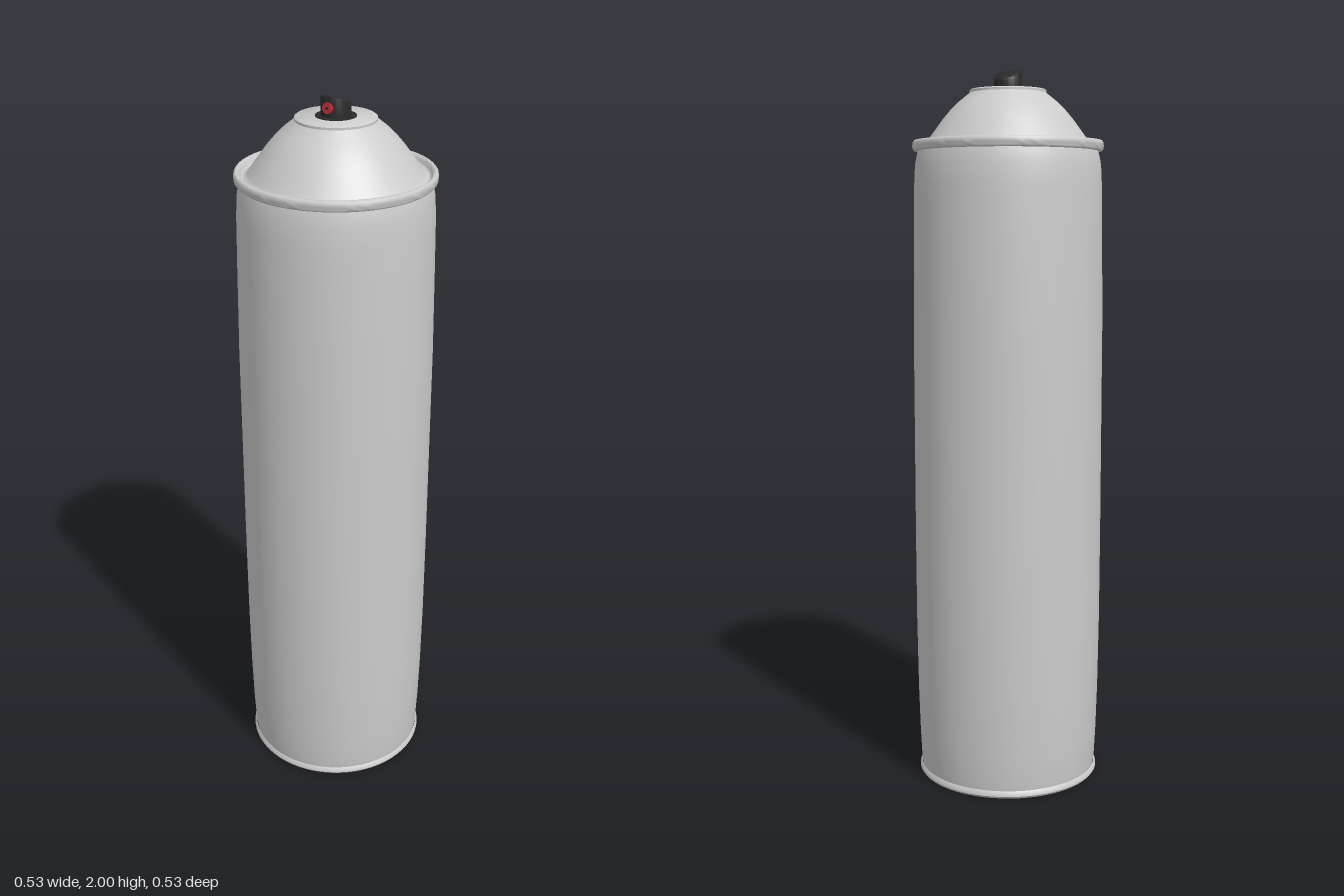
import * as THREE from 'three';
import { toCreasedNormals } from 'three/addons/utils/BufferGeometryUtils.js';

const grey = new THREE.MeshStandardMaterial({ color: 0xcccccc });
const black = new THREE.MeshStandardMaterial({ color: 0x2a2a2a });
const red = new THREE.MeshStandardMaterial({ color: 0xc8323c });

function part(name, geometry, material) {
  const mesh = new THREE.Mesh(geometry, material);
  mesh.name = name;
  return mesh;
}

// Turned solid from [radius, y] pairs, listed from the bottom up
function turned(profile, sides = 64) {
  const points = profile.map(([r, y]) => new THREE.Vector2(r, y));
  return new THREE.LatheGeometry(points, sides);
}

const creased = (geometry, angle = 0.6) => toCreasedNormals(geometry, angle);

export function createModel() {
  const can = new THREE.Group();
  can.name = 'sprayCan';

  // Cylinder wall, drawn in slightly at both ends
  can.add(part('body', creased(turned([
    [0.25, 0.015], [0.253, 0.04], [0.257, 0.12], [0.261, 0.25], [0.264, 0.45],
    [0.265, 0.7], [0.265, 1.3], [0.262, 1.55], [0.26, 1.68], [0.257, 1.74],
    [0.252, 1.765], [0.247, 1.785],
  ])), grey));

  // Rolled bottom seam with a flat base
  can.add(part('base', creased(turned([
    [0, 0], [0.245, 0], [0.254, 0.002], [0.258, 0.008], [0.257, 0.015], [0.252, 0.022],
  ])), grey));

  // Rolled top seam
  can.add(part('topRim', creased(turned([
    [0.246, 1.777], [0.259, 1.777], [0.263, 1.782], [0.264, 1.79], [0.263, 1.8],
    [0.259, 1.805], [0.253, 1.805], [0.249, 1.801], [0.246, 1.793], [0.243, 1.789],
    [0.238, 1.788],
  ], 80), 0.9), grey));

  // Convex shoulder with a flat cap
  can.add(part('dome', creased(turned([
    [0.24, 1.788], [0.233, 1.79], [0.226, 1.798], [0.216, 1.813], [0.2, 1.835],
    [0.18, 1.862], [0.158, 1.888], [0.134, 1.911], [0.11, 1.93], [0.106, 1.934],
    [0.106, 1.94], [0.102, 1.943], [0, 1.943],
  ]), 0.7), grey));

  // Valve collar set flush in the cap
  can.add(part('valveCollar', creased(turned([
    [0.053, 1.94], [0.053, 1.945], [0, 1.945],
  ], 40)), black));

  // Push button, its top sloping down to the back
  const button = turned([[0.039, 1.943], [0.039, 1.98], [0.038, 1.984], [0.035, 1.986], [0, 1.986]], 40);
  const pos = button.attributes.position;
  for (let i = 0; i < pos.count; i++) {
    if (pos.getY(i) > 1.96) pos.setY(i, pos.getY(i) + pos.getZ(i) * 0.4);
  }
  can.add(part('button', creased(button), black));

  // Spray nozzle on the front of the button
  const nozzle = new THREE.Group();
  nozzle.name = 'nozzle';
  nozzle.position.set(0, 1.97, 0.036);
  const insert = new THREE.CylinderGeometry(0.014, 0.014, 0.014, 24).rotateX(Math.PI / 2);
  const hole = new THREE.CircleGeometry(0.004, 16).translate(0, 0, 0.0075);
  nozzle.add(part('nozzleInsert', insert, red), part('nozzleHole', hole, black));
  can.add(nozzle);

  return can;
}
